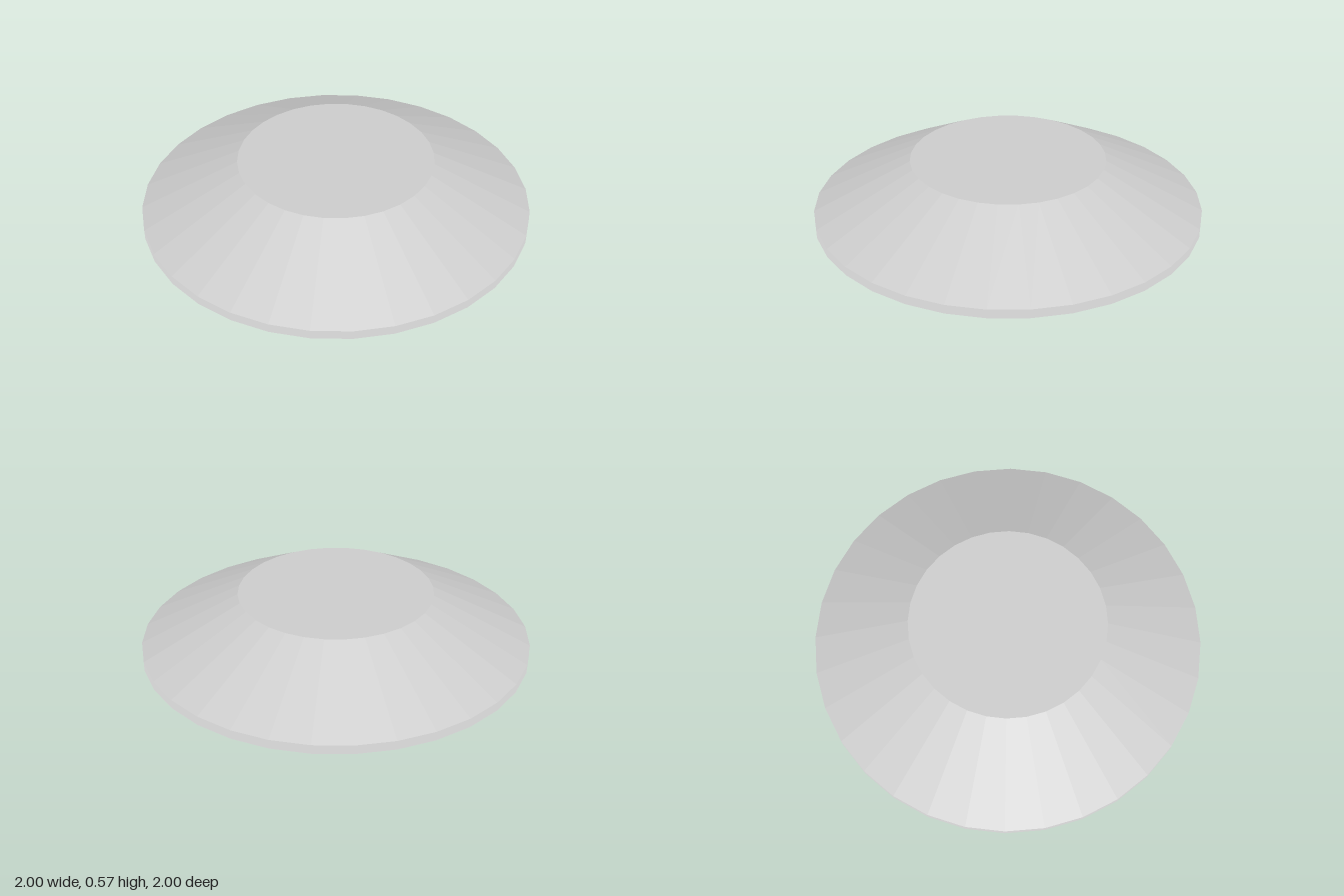
import * as THREE from 'three';

export function createModel() {
  const group = new THREE.Group();
  const lightGrey = new THREE.MeshStandardMaterial({ color: 0xcccccc, flatShading: true });
  lightGrey.name = 'lightGrey';

  const sides = 32, rim = 1, cap = 0.5, height = 0.26, total = 0.567;

  // A closed truncated cone standing at the given height
  const addDisc = (name, topRadius, bottomRadius, base) => {
    const disc = new THREE.Mesh(
      new THREE.CylinderGeometry(topRadius, bottomRadius, height, sides), lightGrey);
    disc.name = name;
    disc.position.y = base + height / 2;
    group.add(disc);
  };

  // Two mirrored halves separated by a thin gap
  addDisc('lowerHalf', rim, cap, 0);
  addDisc('upperHalf', cap, rim, total - height);

  return group;
}
